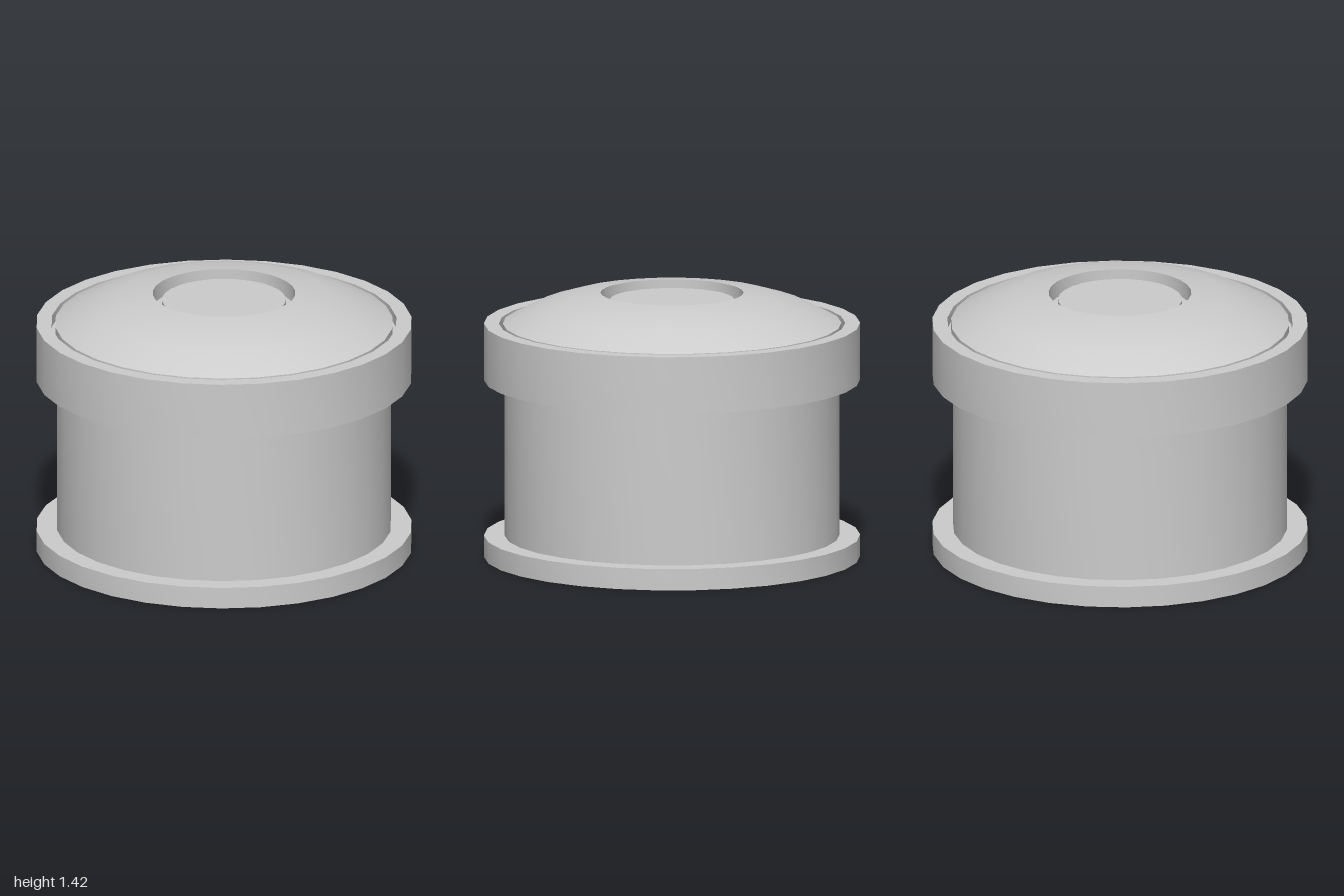
import * as THREE from 'three';
import { toCreasedNormals } from 'three/addons/utils/BufferGeometryUtils.js';

const SIDES = 30;

export function createModel() {
  const model = new THREE.Group();
  const material = new THREE.MeshStandardMaterial({ color: 0xcccccc });

  // Revolve an [radius, height] outline, listed from the bottom up the outside
  const turned = (name, outline) => {
    const points = outline.map(([r, y]) => new THREE.Vector2(r, y));
    const lathe = new THREE.LatheGeometry(points, SIDES, Math.PI / 2);
    const mesh = new THREE.Mesh(toCreasedNormals(lathe, 0.6), material);
    mesh.name = name;
    model.add(mesh);
  };

  // Flat foot disc
  turned('base', [[0, 0], [1, 0], [1, 0.115], [0.88, 0.115]]);

  // Straight drum between the two flanges
  turned('body', [[0.89, 0.115], [0.89, 0.955]]);

  // Wide collar with a narrow groove around the dome
  turned('collar', [[0.88, 0.955], [1, 0.955], [1, 1.26], [0.92, 1.26], [0.92, 1.2], [0.88, 1.2]]);

  // Domed lid with a round recess in its middle
  turned('domeLid', [
    [0.9, 1.2], [0.9, 1.26], [0.72, 1.353], [0.56, 1.402], [0.38, 1.425],
    [0.38, 1.335], [0.32, 1.335],
  ]);

  // Button sunk in the recess
  turned('button', [[0.33, 1.335], [0.33, 1.388], [0, 1.388]]);

  return model;
}
